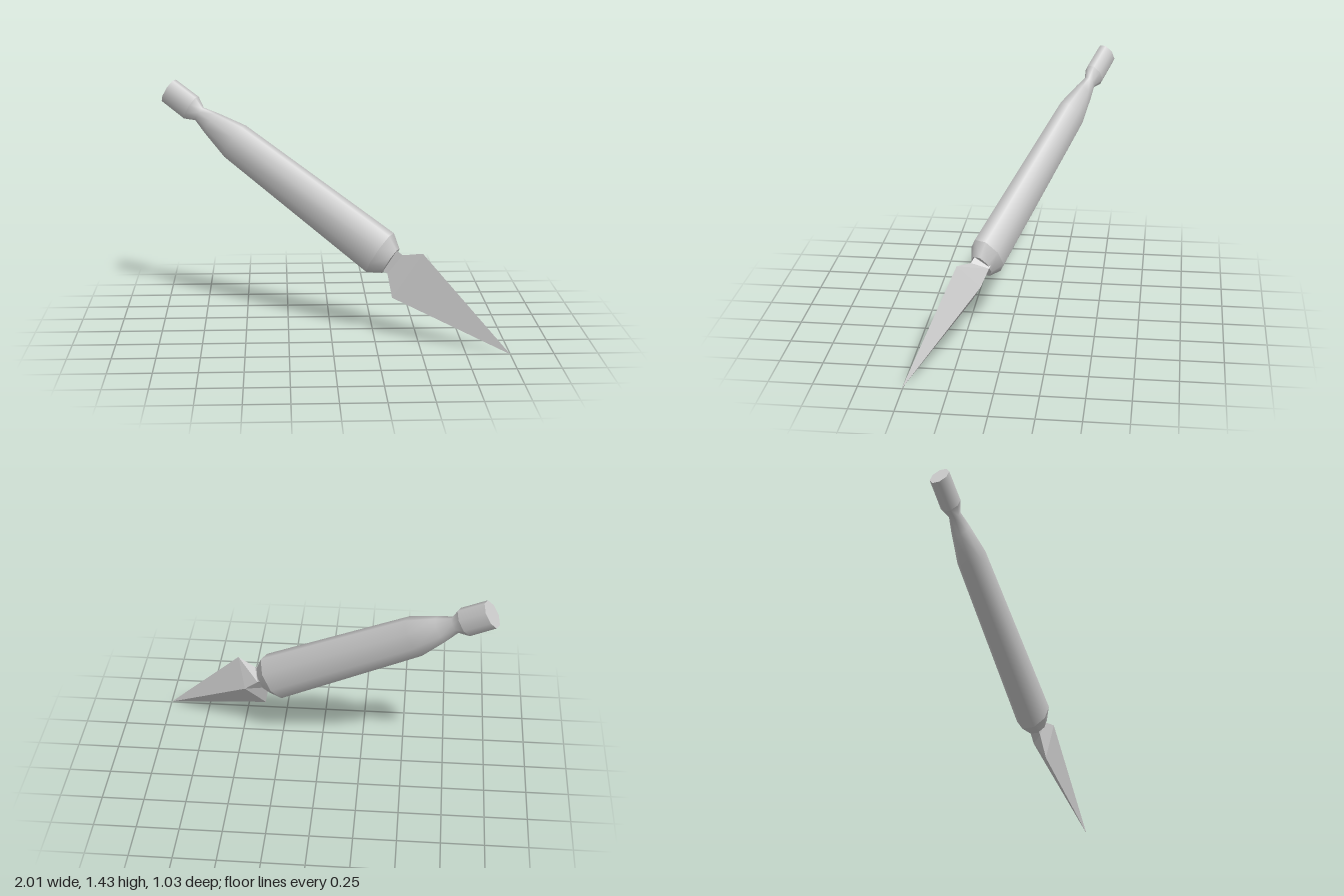
import * as THREE from 'three';

const material = new THREE.MeshStandardMaterial({ color: 0xcccccc });
const bladeMaterial = new THREE.MeshStandardMaterial({ color: 0xcccccc, flatShading: true });
const V = (x, y, z) => new THREE.Vector3(x, y, z);

// Centre line of the handle, from its front rim to its butt
const front = V(0.284, 0.501, 0.12);
const butt = V(-0.96, 1.37, -0.475);
const axis = butt.clone().sub(front).normalize();
const SIDES = 8;

// Three-sided blade: a loop of triangular sections closing in one point
function bladeGeometry(tip, rings) {
  const p = [];
  const tri = (...corners) => corners.forEach((c) => p.push(c.x, c.y, c.z));
  for (let i = 0; i < 3; i++) {
    const j = (i + 1) % 3;
    tri(tip, rings[0][i], rings[0][j]);
    for (let k = 0; k + 1 < rings.length; k++) {
      const [a, b, c, d] = [rings[k][i], rings[k][j], rings[k + 1][i], rings[k + 1][j]];
      tri(b, a, c);
      tri(b, c, d);
    }
  }
  const g = new THREE.BufferGeometry();
  g.setAttribute('position', new THREE.Float32BufferAttribute(p, 3));
  g.computeVertexNormals();
  return g;
}

export function createModel() {
  const model = new THREE.Group();

  // Flattened handle, turned about local y and laid along the centre line
  const handle = new THREE.Group();
  handle.name = 'handle';
  const wide = V(0.468, 0.849, 0.249);
  wide.addScaledVector(axis, -wide.dot(axis)).normalize();
  handle.matrix.makeBasis(wide, axis, wide.clone().cross(axis)).setPosition(front);
  handle.matrix.decompose(handle.position, handle.quaternion, handle.scale);
  const R = 0.147;
  handle.scale.set(R, 1, R * 0.66);
  model.add(handle);

  const turned = (name, points) => {
    const profile = points.map(([r, y]) => new THREE.Vector2(r, y));
    const mesh = new THREE.Mesh(new THREE.LatheGeometry(profile, SIDES, Math.PI / SIDES), material);
    mesh.name = name;
    handle.add(mesh);
  };
  turned('frontCap', [[0, -0.08], [0.62, -0.08]]);
  turned('frontChamfer', [[0.62, -0.08], [1, 0]]);
  turned('grip', [[1, 0], [0.82, 1.105], [0.52, 1.29], [0.33, 1.385], [0.57, 1.45]]);
  turned('knob', [[0.57, 1.45], [0.56, 1.63]]);
  turned('buttCap', [[0.56, 1.63], [0, 1.63]]);

  // Blade with a flat front, a ridge at the back and a short neck sunk in the handle
  const shoulders = [V(0.52, 0.53, 0.265), V(0.35, 0.25, 0.2), V(0.468, 0.385, 0.137)];
  const neck = [V(0.41, 0.505, 0.2), V(0.325, 0.385, 0.165), V(0.385, 0.464, 0.1)];
  const root = neck.map((v) => v.clone().addScaledVector(axis, 0.08));
  const blade = new THREE.Mesh(
    bladeGeometry(V(1, 0, 0.505), [shoulders, neck, root]), bladeMaterial);
  blade.name = 'blade';
  model.add(blade);

  return model;
}
